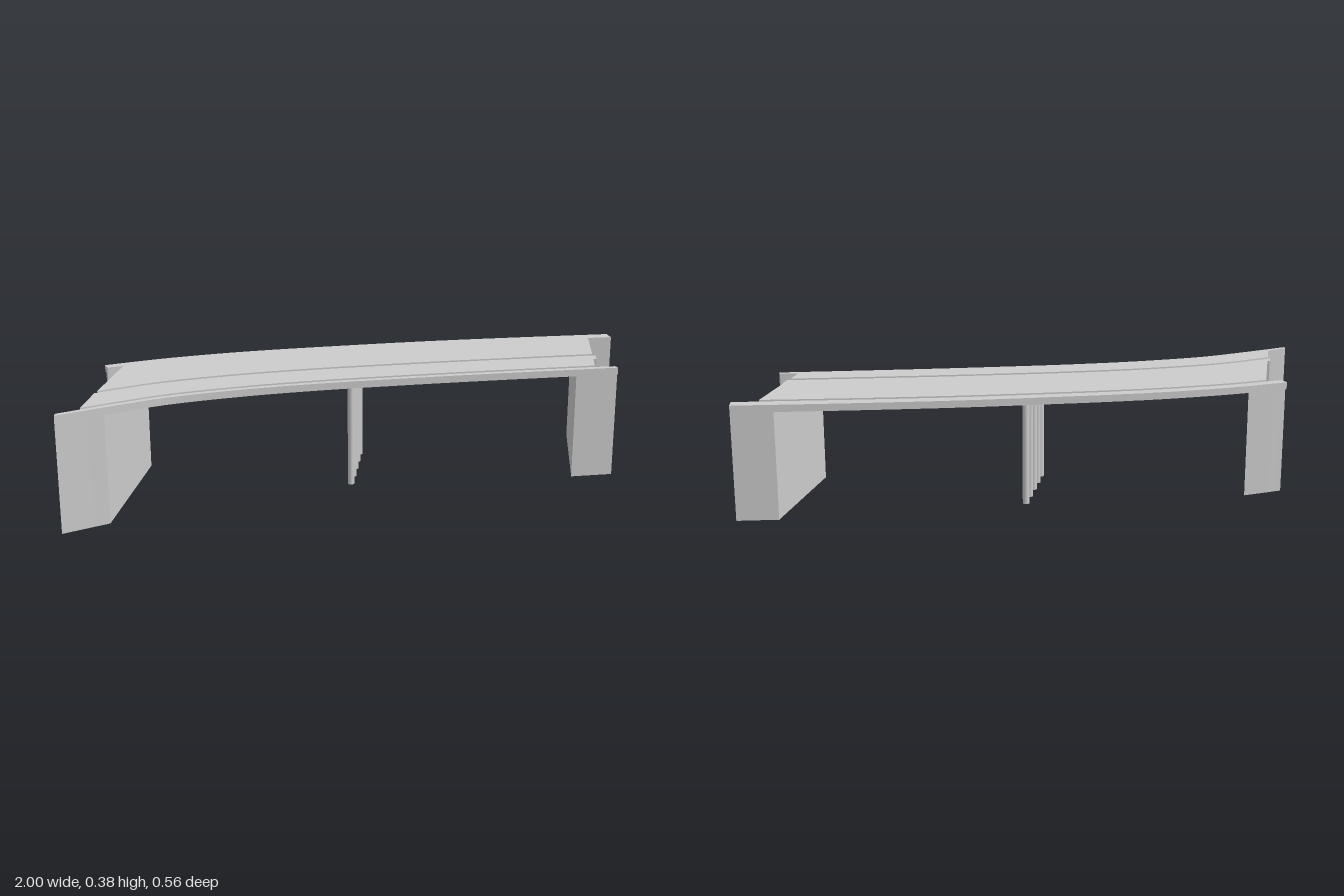
import * as THREE from 'three';

const TOP = 0.375, SOFFIT = 0.352, SURFACE = 0.38;

// Curved long edges of the bridge in plan, as [x, z]
const smooth = pts => new THREE.SplineCurve(pts.map(p => new THREE.Vector2(...p))).getPoints(120);
const FRONT = smooth([[-1, 0.277], [-0.8, 0.222], [-0.63, 0.185], [-0.4, 0.17], [-0.2, 0.173],
  [0, 0.186], [0.35, 0.219], [0.83, 0.276]]);
const BACK = smooth([[-0.79, -0.241], [-0.61, -0.267], [-0.4, -0.279], [-0.21, -0.276],
  [0, -0.263], [0.3, -0.239], [0.62, -0.2], [1, -0.145]]);

// z of an edge at a given x
function zAt(edge, x) {
  let i = 1;
  while (i < edge.length - 1 && edge[i].x < x) i++;
  const a = edge[i - 1], b = edge[i];
  return a.y + (b.y - a.y) * (x - a.x) / (b.x - a.x);
}

// Points along an edge from x0 to x1, shifted in z by an offset blended from d0 to d1
function along(edge, x0, x1, d0 = 0, d1 = d0, n = 32) {
  return Array.from({ length: n + 1 }, (_, i) => {
    const t = i / n, x = x0 + (x1 - x0) * t;
    return [x, zAt(edge, x) + d0 + (d1 - d0) * t];
  });
}

// Upright prism over a plan outline
function prism(name, outline, y0, y1, material) {
  const shape = new THREE.Shape(outline.map(([x, z]) => new THREE.Vector2(x, -z)));
  const geo = new THREE.ExtrudeGeometry(shape, { depth: y1 - y0, bevelEnabled: false });
  geo.rotateX(-Math.PI / 2).translate(0, y0, 0);
  const mesh = new THREE.Mesh(geo, material);
  mesh.name = name;
  return mesh;
}

export function createModel() {
  const group = new THREE.Group();
  group.name = 'bridge';
  const material = new THREE.MeshStandardMaterial({ color: 0xcccccc });

  // Skewed ends with short wings and a pilaster, listed front to back
  const rightEnd = [[0.828, 0.257], [0.76, 0.246], [0.798, 0.155], [0.809, 0.159],
    [0.828, 0.113], [0.817, 0.11], [0.909, -0.113], [0.995, -0.1]];
  const leftEnd = [[-0.995, 0.257], [-0.92, 0.235], [-0.866, 0.11], [-0.874, 0.107],
    [-0.859, 0.072], [-0.851, 0.075], [-0.727, -0.214], [-0.786, -0.208]];

  // Deck slab
  group.add(prism('deck', [
    ...along(FRONT, -1, 0.83), ...rightEnd,
    ...along(BACK, 1, -0.79), ...[...leftEnd].reverse(),
  ], SOFFIT, TOP, material));

  // Abutments, slightly inset under the deck edges
  const inset = 0.004;
  group.add(prism('rightAbutment', [
    ...along(FRONT, 0.69, 0.83, -inset, -inset, 6), ...rightEnd,
    ...along(BACK, 1, 0.868, inset, inset, 6),
  ], 0, SOFFIT, material));
  group.add(prism('leftAbutment', [
    ...along(FRONT, -1, -0.85, -inset, -inset, 6),
    ...along(BACK, -0.65, -0.787, inset, inset, 6), ...[...leftEnd].reverse(),
  ], 0, SOFFIT, material));

  // Two raised surface strips with a narrow gap between them
  group.add(prism('frontSurface', [
    ...along(FRONT, -0.92, 0.76, -0.02, -0.022),
    ...along(FRONT, 0.798, -0.866, -0.117, -0.133),
  ], TOP, SURFACE, material));
  group.add(prism('backSurface', [
    ...along(FRONT, -0.851, 0.817, -0.162, -0.164),
    ...along(BACK, 0.909, -0.727, 0.046, 0.036),
  ], TOP, SURFACE, material));

  // Row of slender columns, parallel to the skewed abutments
  const columns = new THREE.Group();
  columns.name = 'columns';
  const columnGeo = new THREE.CylinderGeometry(0.011, 0.011, SOFFIT, 24);
  for (let i = 0; i < 5; i++) {
    const column = new THREE.Mesh(columnGeo, material);
    column.name = 'column';
    column.position.set(-0.04 + 0.0285 * i, SOFFIT / 2, 0.106 - 0.07 * i);
    columns.add(column);
  }
  group.add(columns);
  return group;
}
